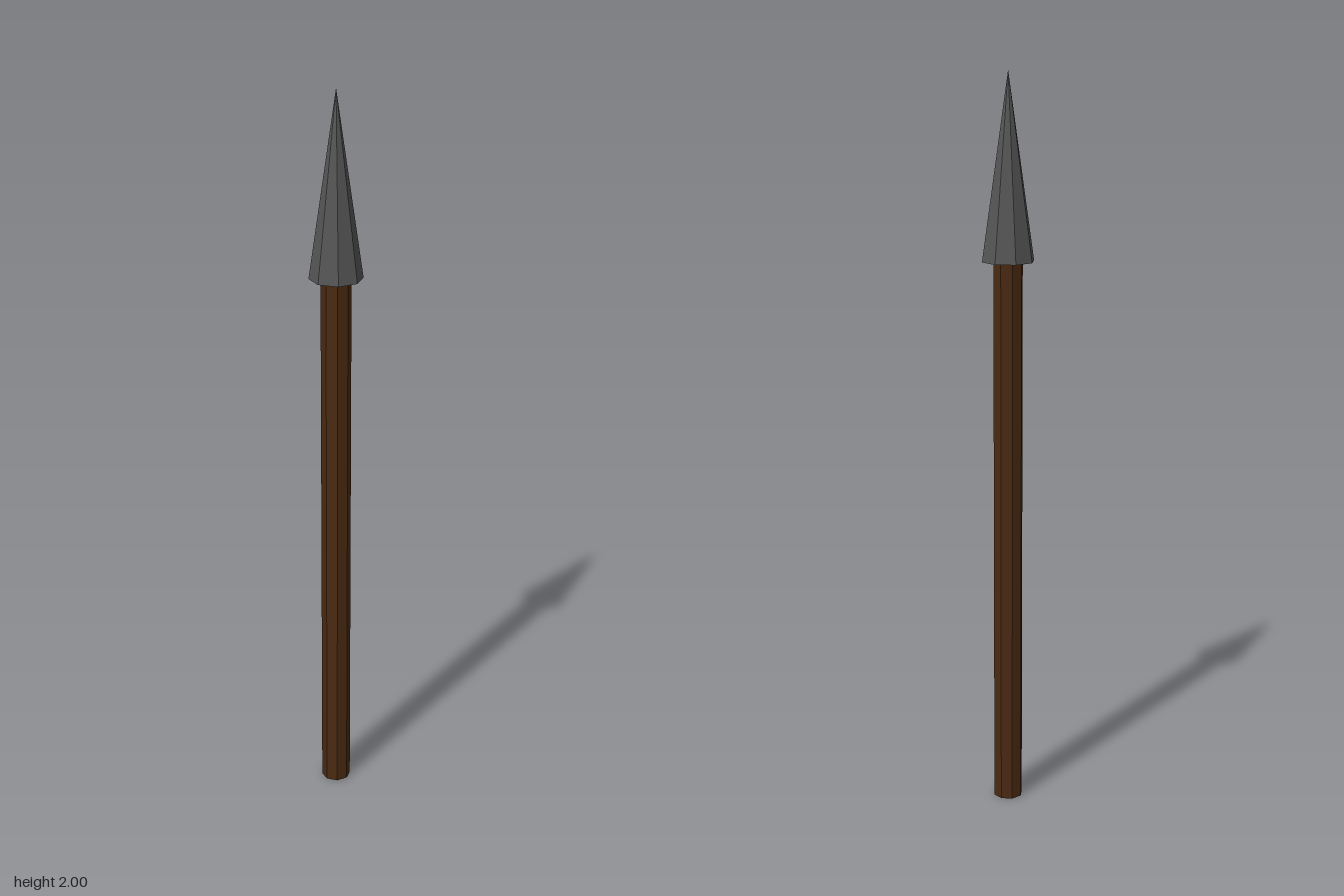
import * as THREE from 'three';

const SIDES = 8;
const HEIGHT = 2;
const HEAD_BASE = 1.51;

function addPart(group, name, geometry, color, y) {
  const material = new THREE.MeshStandardMaterial({ color, flatShading: true });
  const mesh = new THREE.Mesh(geometry, material);
  mesh.name = name;
  mesh.position.y = y;
  group.add(mesh);
}

export function createModel() {
  const group = new THREE.Group();
  group.name = 'spear';

  // Straight wooden shaft, meeting the underside of the head
  addPart(group, 'shaft', new THREE.CylinderGeometry(0.04, 0.04, HEAD_BASE, SIDES), 0x4a2a12, HEAD_BASE / 2);

  // Long faceted metal point
  const headHeight = HEIGHT - HEAD_BASE;
  addPart(group, 'spearhead', new THREE.ConeGeometry(0.071, headHeight, SIDES), 0x555555, HEAD_BASE + headHeight / 2);

  return group;
}
